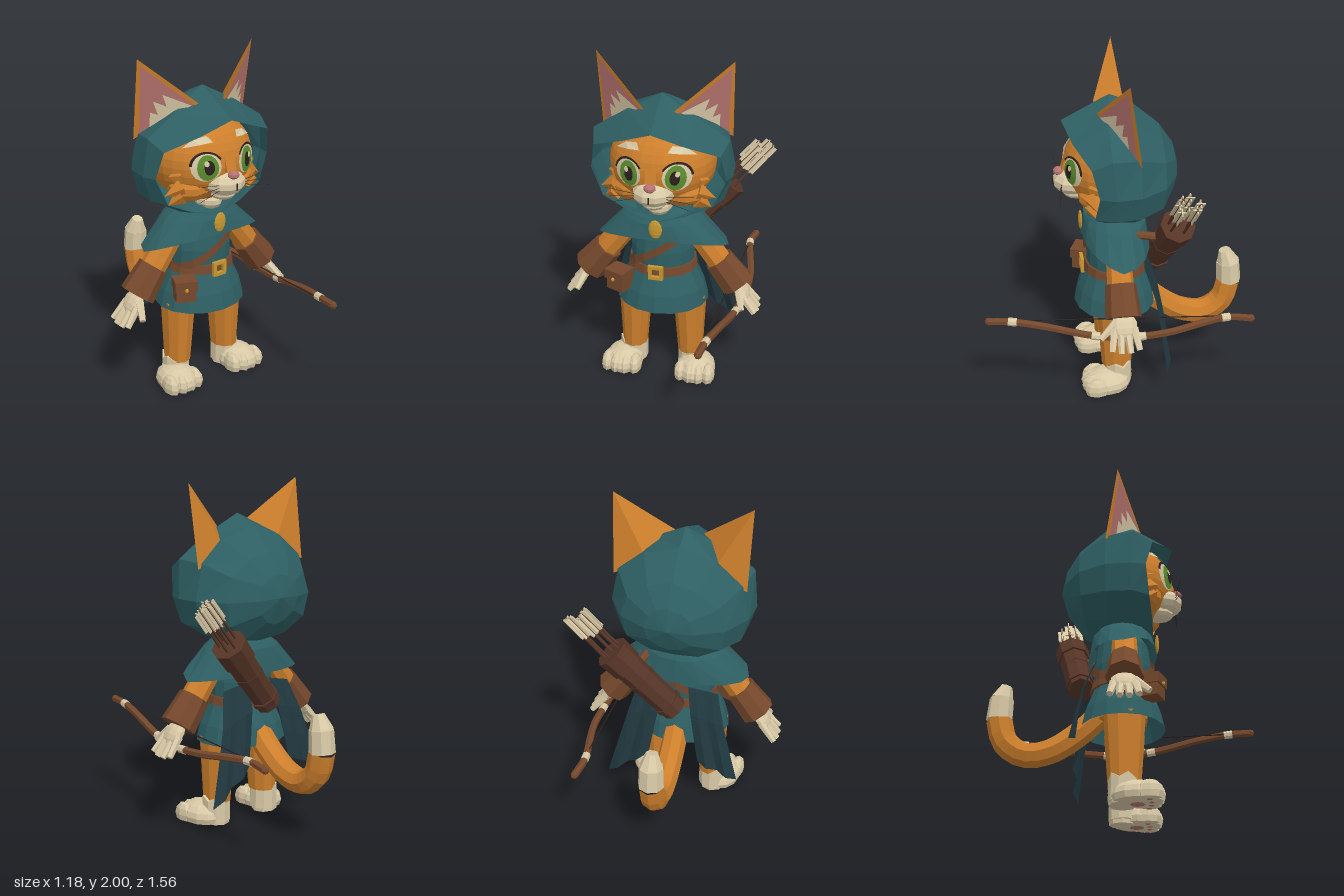
import * as THREE from 'three';

const V = (x, y, z) => new THREE.Vector3(x, y, z);
const mat = (name, color, side = THREE.FrontSide) => {
  const m = new THREE.MeshStandardMaterial({ color, side });
  m.name = name;
  return m;
};

// Bake scale, rotation and position into a geometry
function place(geo, p, r = [0, 0, 0], s = [1, 1, 1]) {
  const q = new THREE.Quaternion().setFromEuler(new THREE.Euler(...r));
  return geo.applyMatrix4(new THREE.Matrix4().compose(V(...p), q, V(...s)));
}
const blob = (p, s, w = 10, h = 7) => place(new THREE.SphereGeometry(1, w, h), p, [0, 0, 0], s);
const box = (p, s, r) => place(new THREE.BoxGeometry(...s), p, r);

// Stand a y-aligned geometry on the line from a to b
function along(geo, a, b) {
  const q = new THREE.Quaternion().setFromUnitVectors(V(0, 1, 0), b.clone().sub(a).normalize());
  const mid = a.clone().lerp(b, 0.5);
  return geo.applyMatrix4(new THREE.Matrix4().compose(mid, q, V(1, 1, 1)));
}
const rod = (a, b, r0, r1 = r0, n = 8) => along(new THREE.CylinderGeometry(r1, r0, a.distanceTo(b), n), a, b);

// Surface through rows of points
function loft(rows, closed) {
  const n = rows[0].length, idx = [];
  for (let i = 0; i < rows.length - 1; i++)
    for (let j = 0; j < (closed ? n : n - 1); j++) {
      const k = (j + 1) % n, a = i * n + j, b = i * n + k;
      idx.push(a, a + n, b, b, a + n, b + n);
    }
  const g = new THREE.BufferGeometry().setFromPoints(rows.flat());
  g.setIndex(idx);
  return g;
}
const tris = pts => new THREE.BufferGeometry().setFromPoints(pts);

// Move every vertex by a rule
function bend(geo, rule) {
  const p = geo.attributes.position, v = V(0, 0, 0);
  for (let i = 0; i < p.count; i++) {
    rule(v.fromBufferAttribute(p, i));
    p.setXYZ(i, v.x, v.y, v.z);
  }
  return geo;
}

export function createModel() {
  const root = new THREE.Group();
  root.name = 'hoodedCatArcher';
  const D = THREE.DoubleSide;
  const orange = mat('orange fur', 0xcd7f2c), cream = mat('cream fur', 0xd8c9a6, D), teal = mat('teal cloth', 0x2e5f63, D),
    darkTeal = mat('dark teal cloth', 0x20383f, D), brown = mat('brown leather', 0x75482c, D), darkBrown = mat('dark leather', 0x563527),
    pink = mat('pink skin', 0xb5736f, D), gold = mat('gold', 0xc9982f), green = mat('green iris', 0x5c8d30), black = mat('dark lines', 0x2a201d);

  // Faceted mesh, and a mirrored pair made from the left (+x) one
  function add(name, geo, m) {
    const g = geo.index ? geo.toNonIndexed() : geo;
    g.computeVertexNormals();
    const mesh = new THREE.Mesh(g, m);
    mesh.name = name;
    root.add(mesh);
    return mesh;
  }
  function pair(name, geo, m) {
    const g = add('left' + name, geo, m).geometry.clone().scale(-1, 1, 1), p = g.attributes.position;
    const a = V(0, 0, 0), b = V(0, 0, 0);
    for (let i = 0; i < p.count; i += 3) {
      a.fromBufferAttribute(p, i + 1);
      b.fromBufferAttribute(p, i + 2);
      p.setXYZ(i + 1, b.x, b.y, b.z);
      p.setXYZ(i + 2, a.x, a.y, a.z);
    }
    add('right' + name, g, m);
  }

  // Head and muzzle
  const head = [0.305, 0.26, 0.29];
  add('head', blob([0, 1.4, 0], head, 28, 18), orange);
  pair('Cheek', blob([0.14, 1.265, 0.1], [0.135, 0.085, 0.13]), orange);
  add('muzzle', blob([0, 1.3, 0.24], [0.12, 0.075, 0.115]), cream);
  add('chin', blob([0, 1.235, 0.215], [0.075, 0.045, 0.085]), cream);
  add('throat', blob([0, 1.15, 0.08], [0.075, 0.06, 0.1]), cream);
  add('noseBridge', box([0, 1.41, 0.27], [0.065, 0.08, 0.05], [-0.3, 0, 0]), orange);
  add('nose', blob([0, 1.362, 0.32], [0.036, 0.024, 0.032], 8, 5), pink);
  add('mouth', box([0, 1.3, 0.353], [0.006, 0.04, 0.006]), black);
  for (const [y, z, len, dy] of [[1.29, 0.15, 0.12, -0.04], [1.24, 0.15, 0.09, -0.05], [1.35, 0.13, 0.07, 0]])
    pair('CheekTuft', rod(V(0.235, y, z), V(0.235 + len * 0.8, y + dy, z - 0.02), 0.055, 0.001, 5), orange);
  for (const dy of [-0.03, 0, 0.03])
    pair('Whisker', rod(V(0.09, 1.3 + dy / 2, 0.31), V(0.25, 1.3 + dy * 1.6, 0.335), 0.002, 0.001, 3), black);

  // Eyes and brows, thin faces following the head
  const onFace = (geo, off) => bend(geo, v => {
    v.z = off + head[2] * Math.sqrt(1 - (v.x / head[0]) ** 2 - ((v.y - 1.4) / head[1]) ** 2);
  });
  const disc = (x, y, rx, ry, off) => onFace(place(new THREE.CircleGeometry(1, 16), [x, y, 0], [0, 0, 0], [rx, ry, 1]), off);
  pair('EyeWhite', disc(0.138, 1.415, 0.078, 0.082, 0.007), cream);
  pair('Iris', disc(0.133, 1.412, 0.056, 0.074, 0.011), green);
  pair('Pupil', disc(0.13, 1.415, 0.027, 0.042, 0.015), black);
  pair('EyeGlint', disc(0.145, 1.44, 0.013, 0.016, 0.019), cream);
  pair('Lash', onFace(place(new THREE.RingGeometry(0.077, 0.088, 16, 1, 0.1, 2.5), [0.135, 1.415, 0]), 0.012), black);
  const brow = new THREE.Shape([[0.08, 1.545], [0.15, 1.535], [0.23, 1.515], [0.17, 1.56], [0.1, 1.575]].map(p => new THREE.Vector2(...p)));
  pair('Brow', onFace(new THREE.ShapeGeometry(brow), 0.01), cream);

  // Ears: a ridged back, pink lining and cream tufts
  const A = V(0.085, 1.735, 0.11), B = V(0.38, 1.53, -0.1), T = V(0.39, 2, -0.03), C = V(0.18, 1.62, -0.09);
  const ab = B.clone().sub(A), at = T.clone().sub(A), n = ab.clone().cross(at).normalize();
  const onEar = (u, v, off) => A.clone().addScaledVector(ab, u).addScaledVector(at, v).addScaledVector(n, off);
  pair('Ear', tris([A, B, T, A, T, C, T, B, C, A, C, B]), orange);
  pair('EarLining', tris([onEar(0.06, 0.02, 0.005), onEar(0.89, 0.02, 0.005), onEar(0.055, 0.89, 0.005)]), pink);
  for (const [u0, u1, u, v] of [[0.08, 0.4, 0.2, 0.38], [0.25, 0.55, 0.36, 0.36], [0.42, 0.72, 0.52, 0.24]])
    pair('EarTuft', tris([onEar(u0, 0.03, 0.009), onEar(u1, 0.03, 0.009), onEar(u, v, 0.009)]), cream);

  // Hood: half rings from the pointed rim to the back, mirrored
  const hood = [
    [[0, 1.67, 0.3], [0.18, 1.595, 0.25], [0.36, 1.52, 0.17], [0.39, 1.36, 0.13], [0.32, 1.2, 0.15], [0.16, 1.125, 0.17], [0, 1.075, 0.18]],
    [[0, 1.81, 0.03], [0.2, 1.7, 0.06], [0.39, 1.575, 0.06], [0.412, 1.355, 0.04], [0.365, 1.205, 0.05], [0.19, 1.11, 0.08], [0, 1.07, 0.1]],
    [[0, 1.75, -0.1], [0.2, 1.685, -0.1], [0.355, 1.56, -0.1], [0.397, 1.355, -0.1], [0.355, 1.205, -0.1], [0.19, 1.1, -0.09], [0, 1.08, -0.09]],
    [[0, 1.62, -0.25], [0.14, 1.58, -0.25], [0.255, 1.49, -0.25], [0.3, 1.355, -0.25], [0.27, 1.22, -0.24], [0.14, 1.135, -0.22], [0, 1.11, -0.2]],
    [[0, 1.5, -0.33], [0.07, 1.48, -0.33], [0.12, 1.44, -0.33], [0.14, 1.36, -0.335], [0.12, 1.28, -0.325], [0.06, 1.23, -0.31], [0, 1.21, -0.3]],
    Array(7).fill([0, 1.37, -0.362])
  ].map(h => [...h, ...h.slice(1, -1).reverse().map(([x, y, z]) => [-x, y, z])].map(p => V(...p)));
  add('hood', loft(hood, true), teal);

  // Shoulder mantle
  const mantle = [[0.12, 0.13, 1.13, 0], [0.24, 0.18, 1.05, 0], [0.39, 0.2, 0.885, 0.08]].map(([rx, rz, y, lift]) =>
    Array.from({ length: 16 }, (_, i) => {
      const a = i * Math.PI / 8, s = Math.sin(a);
      return V(rx * Math.cos(a), y + lift * Math.max(s, -0.3 * s), rz * s);
    }));
  add('mantle', loft(mantle, true), teal);
  add('pendant', blob([0, 1.04, 0.2], [0.04, 0.06, 0.012], 8, 6), gold);

  // Tunic, belt and shoulder strap
  const profile = [[0.275, 0.5], [0.25, 0.6], [0.187, 0.74], [0.19, 0.86], [0.17, 1], [0.1, 1.1]].map(p => new THREE.Vector2(...p));
  add('tunic', new THREE.LatheGeometry(profile, 16).scale(1, 1, 0.88), teal);
  add('hips', blob([0, 0.56, 0], [0.18, 0.04, 0.15]), orange);
  add('belt', place(new THREE.CylinderGeometry(0.198, 0.208, 0.05, 16), [0, 0.745, 0], [0, 0, 0], [1, 1, 0.9]), brown);
  const strap = place(new THREE.CylinderGeometry(0.2, 0.2, 0.055, 16, 1, true), [0, 0.88, 0], [0, 0, 0], [1, 1, 0.92]);
  add('shoulderStrap', bend(strap, v => { v.y += 0.67 * v.x; }), brown);
  for (const s of [-1, 1]) {
    add('buckleSide', box([0.034 * s, 0.75, 0.195], [0.02, 0.088, 0.02]), gold);
    add('buckleBar', box([0, 0.75 + 0.034 * s, 0.195], [0.088, 0.02, 0.02]), gold);
  }
  // Belt pouch
  add('pouch', box([-0.225, 0.66, 0.165], [0.115, 0.11, 0.1], [0, -0.4, 0]), brown);
  add('pouchFlap', box([-0.227, 0.705, 0.168], [0.13, 0.06, 0.115], [0, -0.4, 0]), brown);
  add('pouchButton', blob([-0.25, 0.685, 0.223], [0.012, 0.012, 0.012], 6, 4), gold);

  // Split cape hanging behind
  function cape(name, s, outX, outY, inX, inY) {
    const rows = [0, 0.33, 0.66, 1].map(t => [0, 0.25, 0.5, 0.75, 1].map((u, j) => {
      const p = V(0.07 + 0.17 * u, 0.87 - 0.04 * u, 0).lerp(V(inX + (outX - inX) * u, inY + (outY - inY) * u, 0), t);
      p.x *= s;
      p.z = -0.17 + 0.03 * u * (1 - t) - 0.1 * Math.sqrt(t) + (j % 2 ? -0.02 : 0.01) * t;
      return p;
    }));
    add(name, loft(rows, false), darkTeal);
  }
  cape('leftCape', 1, 0.41, 0.2, 0.15, 0.4);
  cape('rightCape', -1, 0.39, 0.31, 0.15, 0.4);

  // Arms with cuffs and hands, modelled hanging down then swung outward
  const arm = geo => place(geo, [0.2, 0.96, 0.01], [0, 0, 0.655]);
  const down = (y0, y1, r0, r1) => rod(V(0, -y0, 0), V(0, -y1, 0), r0, r1);
  pair('Arm', arm(down(-0.03, 0.3, 0.07, 0.078)), orange);
  pair('Cuff', arm(down(0.22, 0.41, 0.09, 0.105)), brown);
  pair('Palm', arm(blob([0, -0.455, 0], [0.036, 0.075, 0.078])), cream);
  for (const k of [-1.5, -0.5, 0.5, 1.5])
    pair('Finger', arm(rod(V(0, -0.47, k * 0.037), V(0.005, -0.62 + Math.abs(k) * 0.015, k * 0.052), 0.025, 0.018, 6)), cream);
  pair('Thumb', arm(rod(V(0, -0.44, 0.05), V(-0.02, -0.52, 0.135), 0.027, 0.018, 6)), cream);

  // Legs, zigzag socks and paws
  pair('Leg', place(new THREE.CylinderGeometry(0.1, 0.076, 0.39, 10), [0.17, 0.335, 0.01], [0, 0, 0.02], [1, 1, 1.18]), orange);
  const sock = bend(new THREE.CylinderGeometry(0.083, 0.085, 0.15, 10), v => {
    if (v.y > 0.07 && Math.round(Math.atan2(v.z, v.x) * 5 / Math.PI + 9.5) % 2) v.y -= 0.03;
  });
  pair('Sock', place(sock, [0.182, 0.1, 0.005]), cream);
  const sole = geo => bend(geo, v => { v.y = Math.max(v.y, 0.004); });
  pair('Foot', sole(blob([0.225, 0.045, 0.08], [0.118, 0.085, 0.145], 12, 8)), cream);
  pair('Heel', rod(V(0.185, 0.004, 0), V(0.182, 0.08, 0), 0.076, 0.08), cream);
  for (const k of [-1.5, -0.5, 0.5, 1.5]) {
    const x = 0.228 + k * 0.056, z = 0.16 - Math.abs(k) * 0.012;
    pair('Toe', sole(blob([x, 0.045, z], [0.041, 0.068, 0.075], 8, 6)), cream);
    pair('ToePad', place(new THREE.CircleGeometry(0.016, 6), [x, 0.001, z], [Math.PI / 2, 0, 0]), pink);
  }
  pair('PawPad', place(new THREE.CircleGeometry(0.042, 8), [0.22, 0.001, 0.08], [Math.PI / 2, 0, 0]), pink);

  // Tail with a cream tip
  const curve = pts => new THREE.CatmullRomCurve3(pts.map(p => V(...p)));
  const tail = [[0, 0.6, -0.12], [0, 0.47, -0.26], [0, 0.375, -0.41], [0, 0.355, -0.55], [0, 0.43, -0.66], [0, 0.57, -0.7]];
  add('tail', new THREE.TubeGeometry(curve(tail), 16, 0.074, 8), orange);
  add('tailTip', rod(V(0, 0.56, -0.7), V(0, 0.69, -0.69), 0.075, 0.07), cream);
  add('tailPoint', rod(V(0, 0.685, -0.69), V(0, 0.77, -0.665), 0.07, 0.035), cream);

  // Bow, wrappings and string
  const bow = curve([[0.375, 0.63, 0.77], [0.388, 0.625, 0.64], [0.425, 0.6, 0.45], [0.465, 0.545, 0.2], [0.485, 0.525, 0],
    [0.487, 0.54, -0.25], [0.455, 0.56, -0.43], [0.423, 0.57, -0.6], [0.44, 0.56, -0.74]]);
  add('bow', new THREE.TubeGeometry(bow, 32, 0.022, 6), brown);
  for (const t of [0.09, 0.4, 0.57, 0.9])
    add('bowWrap', rod(bow.getPointAt(t - 0.016), bow.getPointAt(t + 0.016), 0.024), cream);
  for (const t of [0.003, 0.997]) add('bowNock', blob(bow.getPointAt(t).toArray(), [0.023, 0.023, 0.023], 6, 4), brown);
  add('bowString', rod(V(0.373, 0.625, 0.7), V(0.43, 0.575, -0.71), 0.004, 0.004, 4), black);

  // Quiver on the back
  const q0 = V(-0.01, 0.745, -0.235), q1 = V(0.335, 1.14, -0.31);
  const onQuiver = t => q0.clone().lerp(q1, t);
  add('quiver', rod(q0, q1, 0.075, 0.09), darkBrown);
  add('quiverCollar', rod(onQuiver(0.76), onQuiver(1.01), 0.097, 0.102), darkBrown);
  for (const t of [0.08, 0.5]) add('quiverBand', rod(onQuiver(t), onQuiver(t + 0.06), 0.085, 0.087), darkBrown);
  add('quiverStrap', rod(V(0.19, 1.02, -0.1), V(0.22, 1.01, -0.25), 0.024), brown);

  // Arrows fanned out of the quiver
  for (let i = 0; i < 7; i++) {
    const a = i * 2.4, r = i ? 0.055 : 0, spread = V(Math.cos(a) * r * 0.75, -Math.cos(a) * r * 0.6, Math.sin(a) * r);
    const start = onQuiver(0.9).add(spread);
    const end = onQuiver(1.5 + (i % 3) * 0.05).add(V(0, 0.01, 0.015)).addScaledVector(spread, 0.9);
    const fl = start.clone().lerp(end, 0.6);
    add('arrowShaft', rod(start, end, 0.008, 0.008, 5), darkBrown);
    add('fletching', along(new THREE.BoxGeometry(0.05, fl.distanceTo(end), 0.006), fl, end), cream);
    add('fletching', along(new THREE.BoxGeometry(0.006, fl.distanceTo(end), 0.05), fl, end), cream);
  }
  return root;
}
